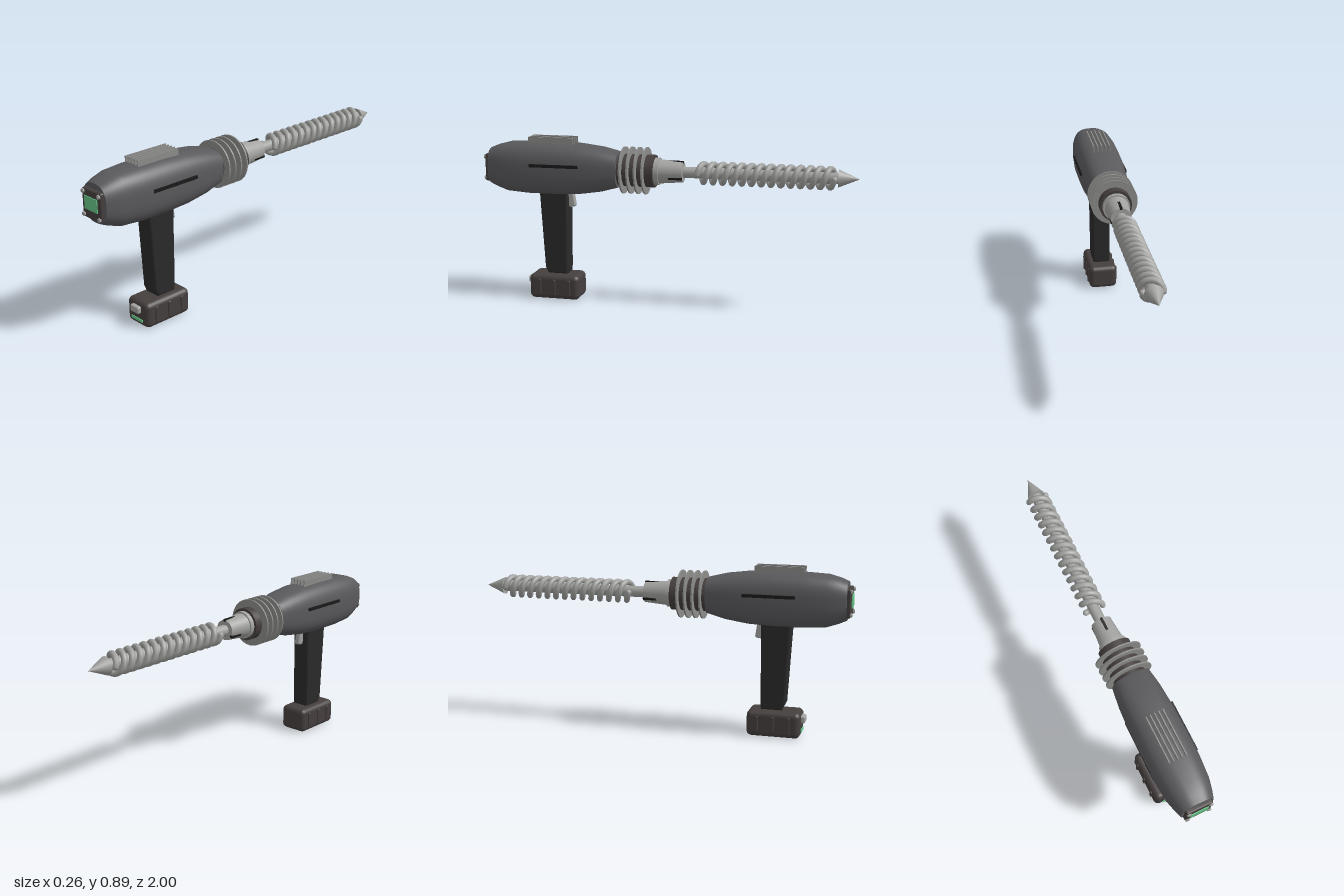
import * as THREE from 'three';
import { RoundedBoxGeometry } from 'three/addons/geometries/RoundedBoxGeometry.js';

const AXIS = 0.72; // height of the drill axis

const mat = (name, color) => {
  const m = new THREE.MeshStandardMaterial({ color });
  m.name = name;
  return m;
};

// Helical path running towards -z
class Helix extends THREE.Curve {
  constructor(radius, z0, z1, turns, phase) {
    super();
    Object.assign(this, { radius, z0, z1, turns, phase });
  }
  getPoint(t, out = new THREE.Vector3()) {
    const a = this.phase + t * this.turns * Math.PI * 2;
    return out.set(this.radius * Math.cos(a), this.radius * Math.sin(a), this.z0 + (this.z1 - this.z0) * t);
  }
}

// Smooth shell through superellipse rings, given as [z, halfWidth, bottom, top]
function loft(sections, power, n = 48) {
  const pos = [], idx = [];
  for (const [z, w, y0, y1] of sections) {
    for (let j = 0; j < n; j++) {
      const a = (j / n) * Math.PI * 2, c = Math.cos(a), s = Math.sin(a);
      pos.push(
        w * Math.sign(c) * Math.abs(c) ** (2 / power),
        (y0 + y1) / 2 + ((y1 - y0) / 2) * Math.sign(s) * Math.abs(s) ** (2 / power), z);
    }
  }
  for (let i = 0; i < sections.length - 1; i++) {
    for (let j = 0; j < n; j++) {
      const k = (j + 1) % n, a = i * n + j, b = i * n + k;
      idx.push(a, b, b + n, a, b + n, a + n);
    }
  }
  const g = new THREE.BufferGeometry();
  g.setAttribute('position', new THREE.Float32BufferAttribute(pos, 3));
  g.setIndex(idx);
  g.computeVertexNormals();
  return g;
}

export function createModel() {
  const root = new THREE.Group();
  const housing = mat('housing grey', 0x5a5a5d);
  const grip = mat('grip black', 0x2a2a2b);
  const brown = mat('dark brown plastic', 0x453f3e);
  const steel = mat('steel', 0xa2a2a0);
  const finGrey = mat('fin grey', 0x8c8c8a);
  const black = mat('slot black', 0x1a1a1a);
  const green = mat('display green', 0x66c587);

  const add = (name, geo, material, x = 0, y = 0, z = 0) => {
    const m = new THREE.Mesh(geo, material);
    m.name = name;
    m.position.set(x, y, z);
    root.add(m);
    return m;
  };
  const box = (name, w, h, d, material, x, y, z) =>
    add(name, new THREE.BoxGeometry(w, h, d), material, x, y, z);
  const rounded = (name, w, h, d, r, material, x, y, z) =>
    add(name, new RoundedBoxGeometry(w, h, d, 4, r), material, x, y, z);
  // Cylinder along z, with a radius at each end
  const rod = (name, rFront, zFront, rBack, zBack, material, sides = 40, x = 0, y = AXIS) =>
    add(name, new THREE.CylinderGeometry(rFront, rBack, zFront - zBack, sides).rotateX(Math.PI / 2),
      material, x, y, (zFront + zBack) / 2);

  // Motor housing, with flat ends
  add('housing', loft([
    [0.255, 0.001, 0.719, 0.721],
    [0.255, 0.102, 0.628, 0.815],
    [0.255, 0.102, 0.628, 0.815],
    [0.35, 0.115, 0.602, 0.838],
    [0.47, 0.122, 0.584, 0.853],
    [0.6, 0.124, 0.578, 0.858],
    [0.75, 0.124, 0.578, 0.858],
    [0.87, 0.114, 0.586, 0.852],
    [0.93, 0.1, 0.606, 0.836],
    [0.97, 0.087, 0.624, 0.82],
    [0.97, 0.087, 0.624, 0.82],
    [0.97, 0.001, 0.719, 0.721],
  ], 2.7), housing);

  // Display panel with corner bolts
  rounded('displayPanel', 0.142, 0.148, 0.034, 0.01, brown, 0, 0.717, 0.974);
  box('displayScreen', 0.096, 0.067, 0.006, green, 0, 0.7235, 0.992);
  for (const x of [-0.058, 0.058]) {
    for (const y of [0.66, 0.775]) {
      rod('panelBolt', 0.012, 0.997, 0.012, 0.985, steel, 6, x, y);
      rod('boltSocket', 0.006, 0.9985, 0.006, 0.99, finGrey, 6, x, y);
    }
  }

  // Cooling fins on top and slots on the sides
  for (let i = -2; i <= 2; i++) {
    box('topFin', 0.006, 0.05, 0.25, finGrey, i * 0.0225, 0.861, 0.625);
  }
  for (const s of [-1, 1]) {
    for (let i = 0; i < 4; i++) {
      box('sideVent', 0.016, 0.016, 0.066, black, s * 0.122, 0.745, 0.484 + i * 0.068);
    }
  }

  // Ribbed collar
  rod('collar', 0.086, 0.265, 0.086, 0.06, brown);
  for (const z of [0.109, 0.149, 0.189, 0.229]) {
    rod('collarFin', 0.125, z + 0.004, 0.125, z - 0.004, finGrey);
  }

  // Chuck with three jaw slots
  rod('chuckRing', 0.072, 0.062, 0.072, 0.036, steel);
  rod('chuck', 0.064, 0.037, 0.053, -0.09, steel);
  for (let i = 0; i < 3; i++) {
    const jaw = new THREE.BoxGeometry(0.013, 0.014, 0.085).translate(0, 0.052, -0.048);
    add('jawSlot', jaw, black, 0, AXIS).rotation.z = (i * Math.PI * 2) / 3;
  }

  // Auger bit
  rod('bitShaft', 0.029, -0.08, 0.029, -0.9, steel, 24);
  for (const phase of [0, Math.PI]) {
    const path = new Helix(0.048, -0.17, -0.875, 7, phase);
    add('bitFlight', new THREE.TubeGeometry(path, 280, 0.0155, 10), steel, 0, AXIS);
    for (const t of [0, 1]) {
      const p = path.getPoint(t);
      add('flightEnd', new THREE.SphereGeometry(0.0155, 10, 8), steel, p.x, p.y + AXIS, p.z);
    }
  }
  rod('bitTip', 0.046, -0.893, 0, -1, steel, 24);

  // Grip, extruded sideways from its tapered profile
  const profile = new THREE.Shape();
  profile.moveTo(0.555, 0.15);
  profile.lineTo(0.648, 0.15);
  profile.lineTo(0.66, 0.175);
  profile.lineTo(0.685, 0.62);
  profile.lineTo(0.548, 0.62);
  profile.lineTo(0.553, 0.175);
  profile.closePath();
  const gripGeo = new THREE.ExtrudeGeometry(profile, {
    depth: 0.08, bevelEnabled: true, bevelThickness: 0.01, bevelSize: 0.01, bevelSegments: 3,
  }).translate(0, 0, -0.04).rotateY(-Math.PI / 2);
  add('grip', gripGeo, grip);
  rounded('trigger', 0.034, 0.085, 0.04, 0.01, steel, 0, 0.55, 0.527).rotation.x = 0.15;

  // Battery with side ribs, latch and charge strip
  rounded('battery', 0.16, 0.135, 0.28, 0.027, brown, 0, 0.0675, 0.615);
  for (const s of [-1, 1]) {
    for (const z of [0.53, 0.613, 0.695]) {
      rounded('batteryRib', 0.016, 0.088, 0.018, 0.005, brown, s * 0.079, 0.068, z);
    }
  }
  rounded('batteryLatch', 0.064, 0.038, 0.03, 0.009, steel, -0.001, 0.094, 0.761);
  box('chargeStrip', 0.082, 0.014, 0.008, green, 0, 0.035, 0.756);

  return root;
}
